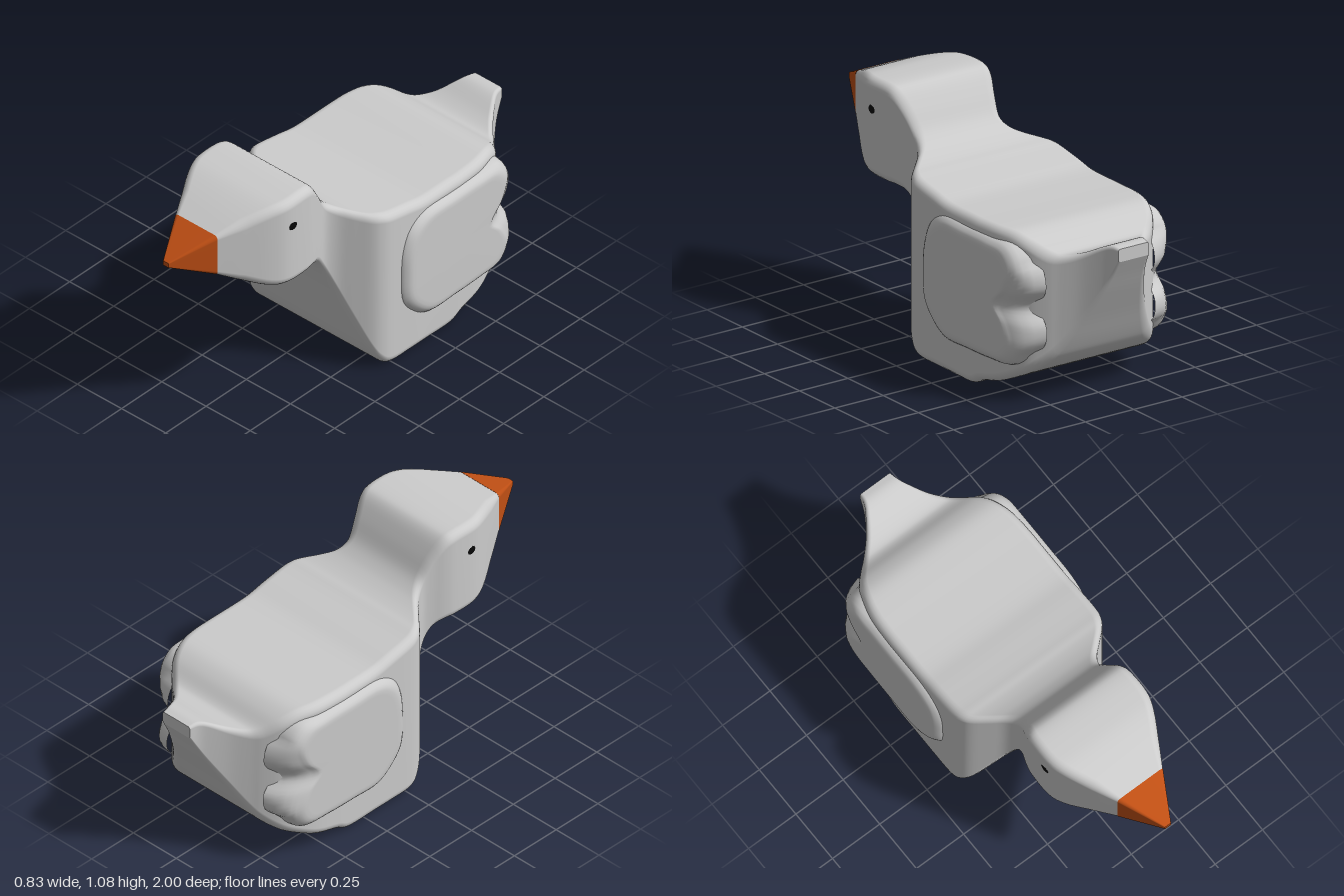
import * as THREE from 'three';

const grey = new THREE.MeshStandardMaterial({ color: 0xcccccc });
const orange = new THREE.MeshStandardMaterial({ color: 0xc04f14 });
const black = new THREE.MeshStandardMaterial({ color: 0x060606 });

// Skin a list of closed rings (equal point counts) into a smooth surface
function skin(rings) {
  const n = rings[0].length;
  const index = [];
  for (let i = 0; i < rings.length - 1; i++) {
    for (let j = 0; j < n; j++) {
      const a = i * n + j, b = i * n + (j + 1) % n;
      index.push(a, a + n, b + n, a, b + n, b);
    }
  }
  const geometry = new THREE.BufferGeometry().setFromPoints(rings.flat());
  geometry.setIndex(index);
  geometry.computeVertexNormals();
  return geometry;
}

// Rounded rectangle in the xy plane at depth z
function section(z, bottom, top, half, radius) {
  const r = Math.min(radius, half * 0.45, (top - bottom) * 0.45);
  const points = [];
  const steps = 5;
  [[1, 1], [-1, 1], [-1, -1], [1, -1]].forEach(([sx, sy], corner) => {
    for (let k = 0; k <= steps; k++) {
      const a = (corner + k / steps) * Math.PI / 2;
      const cy = sy > 0 ? top - r : bottom + r;
      points.push(new THREE.Vector3(sx * (half - r) + r * Math.cos(a), cy + r * Math.sin(a), z));
    }
  });
  return points;
}

// Close both ends with a flat cap and a sharp rim
function capped(rings) {
  const copy = ring => ring.map(p => p.clone());
  const centre = ring => {
    const c = ring.reduce((s, p) => s.add(p), new THREE.Vector3()).divideScalar(ring.length);
    return ring.map(() => c.clone());
  };
  const first = rings[0], last = rings[rings.length - 1];
  return [centre(first), copy(first), ...rings, copy(last), centre(last)];
}

// Body stations from face to tail: z, bottom, top, half width
const stations = [
  [0.81, 0.782, 0.984, 0.12], [0.7, 0.712, 1.03, 0.183], [0.6, 0.658, 1.062, 0.237],
  [0.52, 0.64, 1.072, 0.263], [0.41, 0.636, 1.073, 0.263], [0.355, 0.633, 1.052, 0.252],
  [0.3, 0.607, 0.98, 0.23], [0.25, 0.53, 0.9, 0.22], [0.2, 0.405, 0.855, 0.245],
  [0.15, 0.25, 0.828, 0.297], [0.1, 0.1, 0.81, 0.35], [0.06, 0.03, 0.802, 0.374],
  [0.01, 0.002, 0.79, 0.384], [-0.1, 0, 0.77, 0.386], [-0.2, 0, 0.752, 0.386],
  [-0.35, 0, 0.75, 0.386], [-0.42, 0.03, 0.75, 0.386], [-0.53, 0.06, 0.752, 0.38],
  [-0.62, 0.1, 0.748, 0.358], [-0.69, 0.14, 0.72, 0.325], [-0.75, 0.195, 0.677, 0.27],
  [-0.79, 0.26, 0.668, 0.225], [-0.85, 0.38, 0.687, 0.165], [-0.92, 0.515, 0.724, 0.112],
  [-0.96, 0.595, 0.735, 0.09], [-1, 0.672, 0.73, 0.08],
];

function bodyGeometry() {
  const lower = new THREE.CatmullRomCurve3(
    stations.map(([z, b, , w]) => new THREE.Vector3(w, b, z)), false, 'catmullrom', 0.5);
  const upper = new THREE.CatmullRomCurve3(
    stations.map(([z, , t]) => new THREE.Vector3(0, t, z)), false, 'catmullrom', 0.5);
  const rings = [];
  const count = (stations.length - 1) * 4;
  for (let i = 0; i <= count; i++) {
    const p = lower.getPoint(i / count), q = upper.getPoint(i / count);
    // Corners tighten towards the beak and the tail tip
    const radius = Math.min(0.042, 0.02 + (0.81 - p.z) * 0.2, 0.012 + (p.z + 1) * 0.12);
    rings.push(section(p.z, p.y, q.y, p.x, radius));
  }
  return skin(capped(rings));
}

// Wing outline as (z, y): front, over the top, notched back, underside
const wingOutline = [
  [-0.05, 0.43], [-0.06, 0.55], [-0.1, 0.64], [-0.18, 0.69], [-0.35, 0.695], [-0.52, 0.695],
  [-0.63, 0.685], [-0.685, 0.62], [-0.655, 0.52], [-0.585, 0.43], [-0.65, 0.355],
  [-0.685, 0.265], [-0.64, 0.19], [-0.5, 0.172], [-0.35, 0.168], [-0.2, 0.17],
  [-0.12, 0.22], [-0.06, 0.3],
];

// Each wing ring: outline scale, distance from the centre plane, filling of the notch
const wingLevels = [[1.08, 0.28, 0.11], [1.07, 0.33, 0.09], [1.055, 0.365, 0.06],
  [1.03, 0.386, 0.035], [1, 0.397, 0.015], [0.97, 0.405, 0.005], [0.935, 0.412, 0],
  [0.89, 0.415, 0], [0.83, 0.416, 0], [0, 0.416, 0]];

function wingGeometry(side) {
  const outline = new THREE.CatmullRomCurve3(
    wingOutline.map(([z, y]) => new THREE.Vector3(0, y, z)), true).getPoints(90).slice(0, -1);
  if (side < 0) outline.reverse();
  return skin(wingLevels.map(([s, x, fill]) => outline.map(p => {
    const notch = p.z < -0.5 ? Math.max(0, 1 - ((p.y - 0.43) / 0.19) ** 2) : 0;
    return new THREE.Vector3(
      side * x, 0.43 + (p.y - 0.43) * s, -0.36 + (p.z + 0.36) * s - fill * notch);
  })));
}

export function createModel() {
  const group = new THREE.Group();
  const add = (name, geometry, material) => {
    const mesh = new THREE.Mesh(geometry, material);
    mesh.name = name;
    group.add(mesh);
    return mesh;
  };

  add('body', bodyGeometry(), grey);

  // Pyramid beak with a small blunt tip
  add('beak', skin(capped([
    section(1, 0.874, 0.897, 0.016, 0.004),
    section(0.81, 0.781, 0.985, 0.121, 0.02),
  ])), orange);

  // Mirrored wings and eyes
  for (const side of [1, -1]) {
    const label = side > 0 ? 'left' : 'right';
    add(label + 'Wing', wingGeometry(side), grey);
    const eye = add(label + 'Eye', new THREE.SphereGeometry(1, 20, 12), black);
    eye.scale.set(0.005, 0.02, 0.024);
    eye.position.set(side * 0.263, 0.94, 0.497);
  }
  return group;
}
